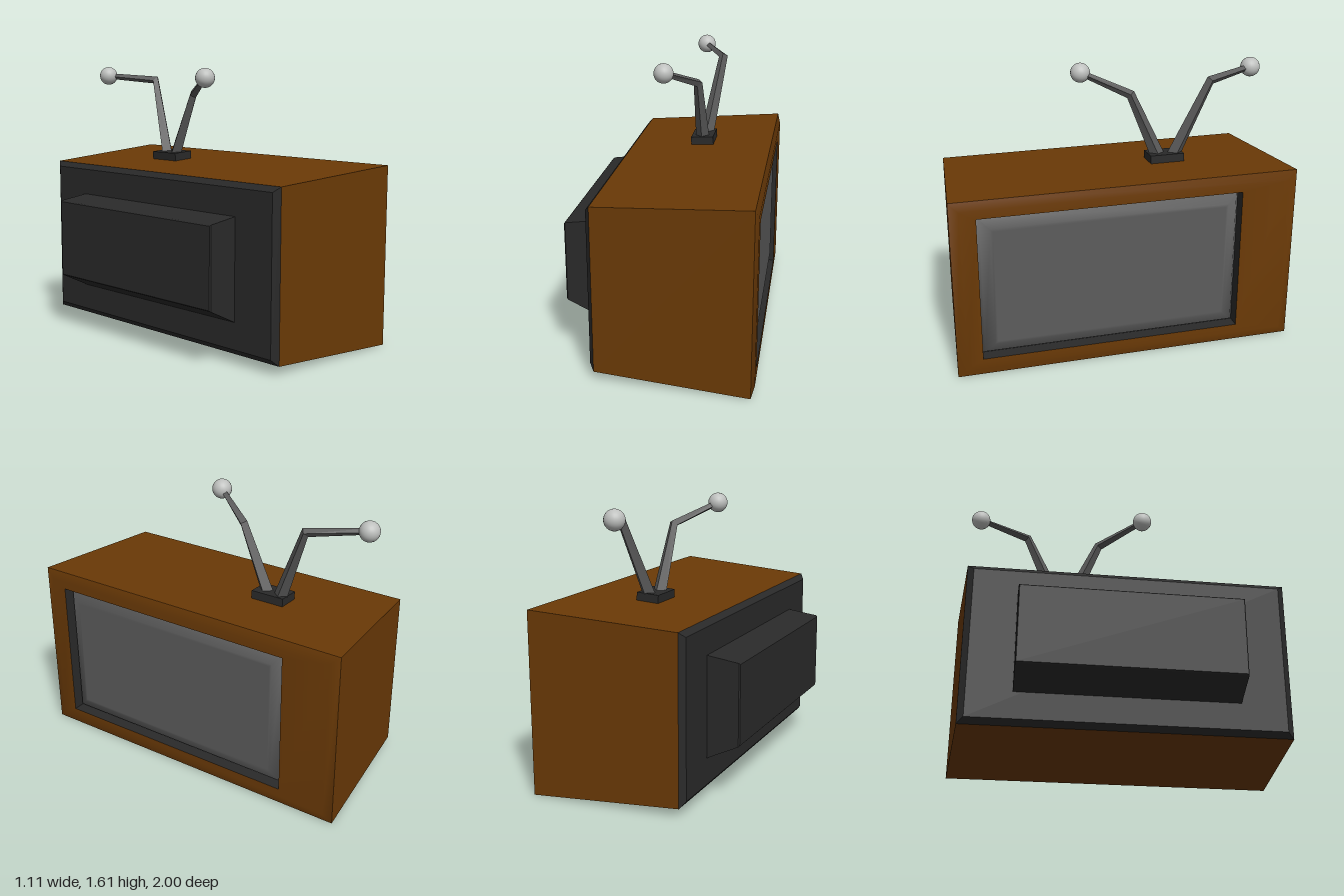
import * as THREE from 'three';

const mat = (name, color) => {
  const m = new THREE.MeshStandardMaterial({ color });
  m.name = name;
  return m;
};

// Skin a list of four-cornered rings, optionally closing either end.
function loft(rings, { start = false, end = false, smooth = false } = {}) {
  const index = [];
  for (let i = 0; i < rings.length - 1; i++) {
    for (let k = 0; k < 4; k++) {
      const a = i * 4 + k, b = i * 4 + (k + 1) % 4;
      index.push(a, a + 4, b + 4, a, b + 4, b);
    }
  }
  if (start) index.push(0, 1, 2, 0, 2, 3);
  const n = (rings.length - 1) * 4;
  if (end) index.push(n, n + 2, n + 1, n, n + 3, n + 2);
  const indexed = new THREE.BufferGeometry();
  indexed.setAttribute('position', new THREE.Float32BufferAttribute(rings.flat(2), 3));
  indexed.setIndex(index);
  const geo = smooth ? indexed : indexed.toNonIndexed();
  geo.computeVertexNormals();
  return geo;
}

// Upright rectangle across the x axis.
const rect = (x, y0, y1, z0, z1) => [[x, y0, z0], [x, y0, z1], [x, y1, z1], [x, y1, z0]];

// Screen opening, shrunk by an inset.
const opening = (x, d = 0) => rect(x, 0.105 + d, 0.96 - d, -0.665 + d, 0.855 - d);

// Square tapering rod with mitred bends.
function rod(points, radii) {
  const p = points.map((q) => new THREE.Vector3(...q));
  const rings = p.map((c, i) => {
    const dir = new THREE.Vector3();
    if (i > 0) dir.add(c.clone().sub(p[i - 1]).normalize());
    if (i < p.length - 1) dir.add(p[i + 1].clone().sub(c).normalize());
    dir.normalize();
    const e1 = new THREE.Vector3(1, 0, 0);
    e1.addScaledVector(dir, -e1.dot(dir)).normalize();
    const e2 = e1.clone().cross(dir);
    return [0, 1, 2, 3].map((k) => c.clone()
      .addScaledVector(e1, radii[i] * Math.cos(k * Math.PI / 2))
      .addScaledVector(e2, radii[i] * Math.sin(k * Math.PI / 2)).toArray());
  });
  return loft(rings, { start: true, end: true });
}

export function createModel() {
  const group = new THREE.Group();
  const wood = mat('wood brown', 0x6b3a06);
  const dark = mat('dark plastic', 0x2a2a2a);
  const grey = mat('screen and antenna grey', 0x5c5c5c);
  const silver = mat('ball silver', 0xbec0be);
  const add = (name, geo, material) => {
    const m = new THREE.Mesh(geo, material);
    m.name = name;
    group.add(m);
    return m;
  };

  // Tapered wooden cabinet and its softly rounded front frame
  const rim = rect(0.535, 0, 1.06, -1, 1);
  const back = rect(-0.333, 0.052, 1.01, -0.932, 0.932);
  add('cabinet', loft([back, rim]), wood);
  add('frontFrame', loft([rim, rect(0.553, 0.05, 1.01, -0.945, 0.945), opening(0.553)], { smooth: true }), wood);

  // Recess and bulging screen
  add('screenRecess', loft([opening(0.553), opening(0.475)]), dark);
  add('screen', loft([opening(0.475), opening(0.505, 0.02), opening(0.53, 0.075), opening(0.532, 0.09)],
    { end: true, smooth: true }), grey);

  // Back panel with chamfered edge and the tube housing
  add('backPanel', loft([rect(-0.36, 0.085, 0.98, -0.895, 0.895), back], { start: true }), dark);
  add('tubeHousing', loft([
    rect(-0.553, 0.34, 0.795, -0.635, 0.63),
    rect(-0.546, 0.333, 0.801, -0.64, 0.635),
    rect(-0.355, 0.238, 0.825, -0.64, 0.635),
  ], { start: true }), dark);

  // Antenna foot, lying on the sloping top
  const foot = add('antennaFoot', new THREE.BoxGeometry(0.138, 0.05, 0.205), dark);
  foot.position.set(0.106, 1.058, -0.338);
  foot.rotation.z = 0.058;

  // Two bent rods with ball tips
  const arms = [
    [[0.102, 1.06, -0.3], [0.092, 1.447, -0.13], [-0.073, 1.553, 0.13]],
    [[0.117, 1.06, -0.39], [0.194, 1.528, -0.58], [0.05, 1.553, -0.885]],
  ];
  arms.forEach((path, i) => {
    const side = i ? 'Right' : 'Left';
    add('antennaRod' + side, rod(path, [0.042, 0.028, 0.018]), grey);
    add('antennaBall' + side, new THREE.SphereGeometry(0.058, 24, 16), silver).position.set(...path[2]);
  });

  return group;
}
